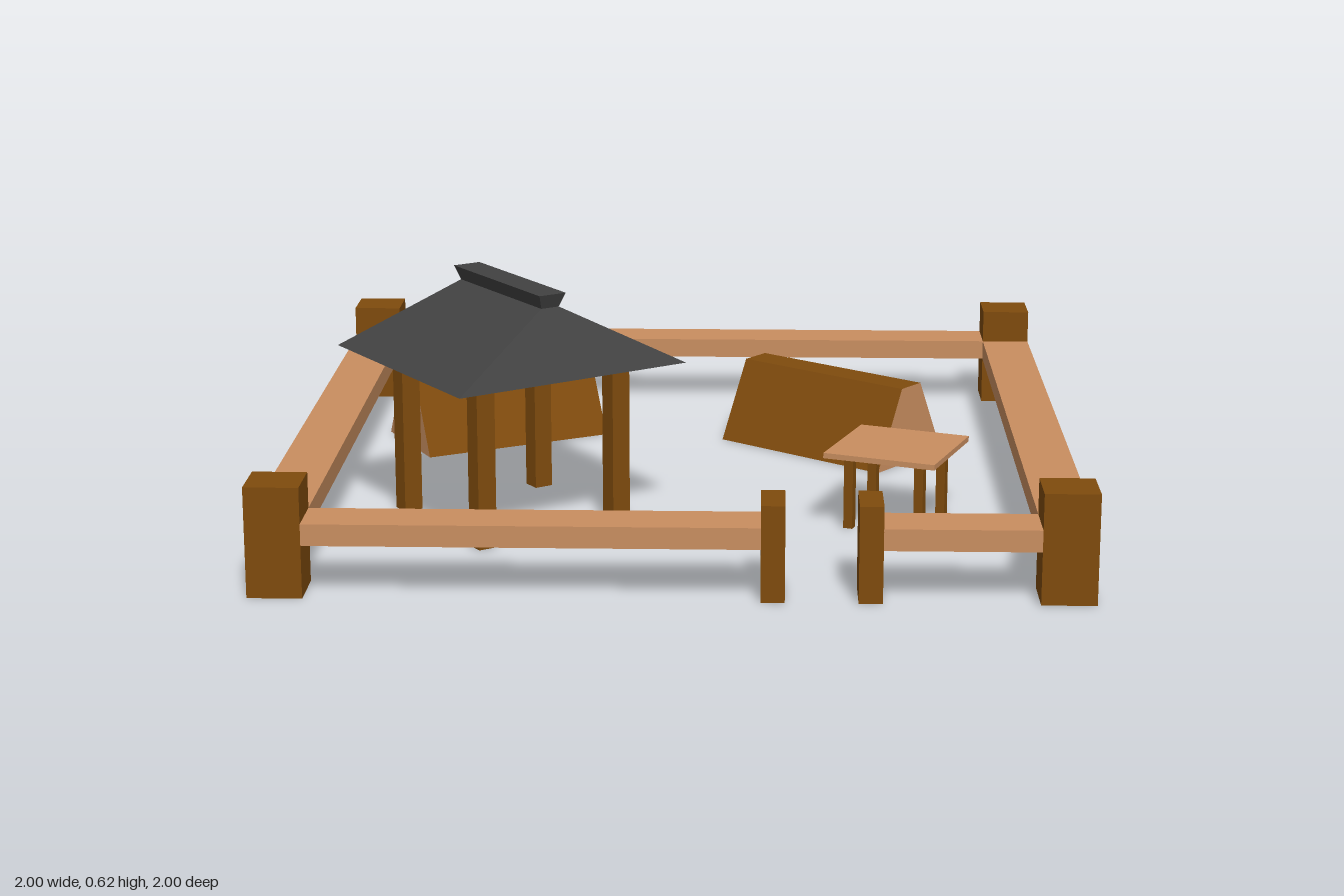
import * as THREE from 'three';

const mat = (name, color) => {
  const m = new THREE.MeshStandardMaterial({ color, side: THREE.DoubleSide });
  m.name = name;
  return m;
};

// Box standing on y = 0 whose top is resized to topW x topD; optional list of
// faces to keep (0 +x, 1 -x, 2 top, 3 bottom, 4 +z, 5 -z)
function taperedBox(w, h, d, topW = w, topD = d, faces = null) {
  const g = new THREE.BoxGeometry(w, h, d).translate(0, h / 2, 0);
  const p = g.attributes.position;
  for (let i = 0; i < p.count; i++) {
    if (p.getY(i) > h / 2) {
      p.setX(i, Math.sign(p.getX(i)) * topW / 2);
      p.setZ(i, Math.sign(p.getZ(i)) * topD / 2);
    }
  }
  if (faces) {
    const index = Array.from(g.index.array);
    g.setIndex(faces.flatMap((f) => index.slice(f * 6, f * 6 + 6)));
  }
  g.clearGroups();
  g.computeVertexNormals();
  return g;
}

export function createModel() {
  const darkWood = mat('darkWood', 0x7f4b0d);
  const lightWood = mat('lightWood', 0xc98e60);
  const slate = mat('slate', 0x424242);

  const model = new THREE.Group();
  model.name = 'camp';

  const add = (parent, name, geometry, material, x = 0, y = 0, z = 0) => {
    const mesh = new THREE.Mesh(geometry, material);
    mesh.name = name;
    mesh.position.set(x, y, z);
    parent.add(mesh);
    return mesh;
  };
  const group = (name, x, z, degrees) => {
    const g = new THREE.Group();
    g.name = name;
    g.position.set(x, 0, z);
    g.rotation.y = THREE.MathUtils.degToRad(degrees);
    model.add(g);
    return g;
  };
  const fourCorners = (fn) => {
    for (const sx of [-1, 1]) for (const sz of [-1, 1]) fn(sx, sz);
  };

  // Fence: corner posts, gate posts and rails
  const fence = group('fence', 0, 0, 0);
  const T = 0.132, E = 1 - T / 2, inner = 1 - T;
  fourCorners((sx, sz) =>
    add(fence, 'cornerPost', taperedBox(T, 0.272, T), darkWood, sx * E, 0, sz * E));
  for (const x of [0.24, 0.47]) {
    add(fence, 'gatePost', taperedBox(0.057, 0.237, T), darkWood, x, 0, E);
  }
  const railX = (name, x0, x1, z) =>
    add(fence, name, taperedBox(x1 - x0, 0.053, T), lightWood, (x0 + x1) / 2, 0.13, z);
  railX('backRail', -inner, inner, -E);
  railX('frontRailLong', -inner, 0.212, E);
  railX('frontRailShort', 0.498, inner, E);
  for (const s of [-1, 1]) {
    add(fence, 'sideRail', taperedBox(T, 0.053, 2 * inner), lightWood, s * E, 0.13, 0);
  }

  // Pavilion: four posts, hipped roof and flared ridge cap
  const pavilion = group('pavilion', -0.432, 0.314, 34.9);
  fourCorners((sx, sz) =>
    add(pavilion, 'pavilionPost', taperedBox(0.05, 0.43, 0.05), darkWood, sx * 0.196, 0, sz * 0.196));
  add(pavilion, 'roof', taperedBox(0.65, 0.16, 0.65, 0.05, 0.41), slate, 0, 0.428, 0);
  add(pavilion, 'ridgeCap', taperedBox(0.05, 0.036, 0.41, 0.075, 0.437), slate, 0, 0.588, 0);

  // Tents: open underneath, with pale end panels
  for (const [x, z, angle] of [[-0.54, -0.47, 28.2], [0.408, -0.375, -37.6]]) {
    const tent = group('tent', x, z, angle);
    const size = [0.54, 0.215, 0.302, 0.54, 0.088];
    add(tent, 'tentCover', taperedBox(...size, [2, 4, 5]), darkWood);
    add(tent, 'tentEnds', taperedBox(...size, [0, 1]), lightWood);
  }

  // Table: thin square top on four legs
  const table = group('table', 0.557, 0.347, -20.9);
  add(table, 'tableTop', taperedBox(0.293, 0.014, 0.293), lightWood, 0, 0.191, 0);
  fourCorners((sx, sz) =>
    add(table, 'tableLeg', taperedBox(0.024, 0.191, 0.024), darkWood, sx * 0.093, 0, sz * 0.093));

  return model;
}
